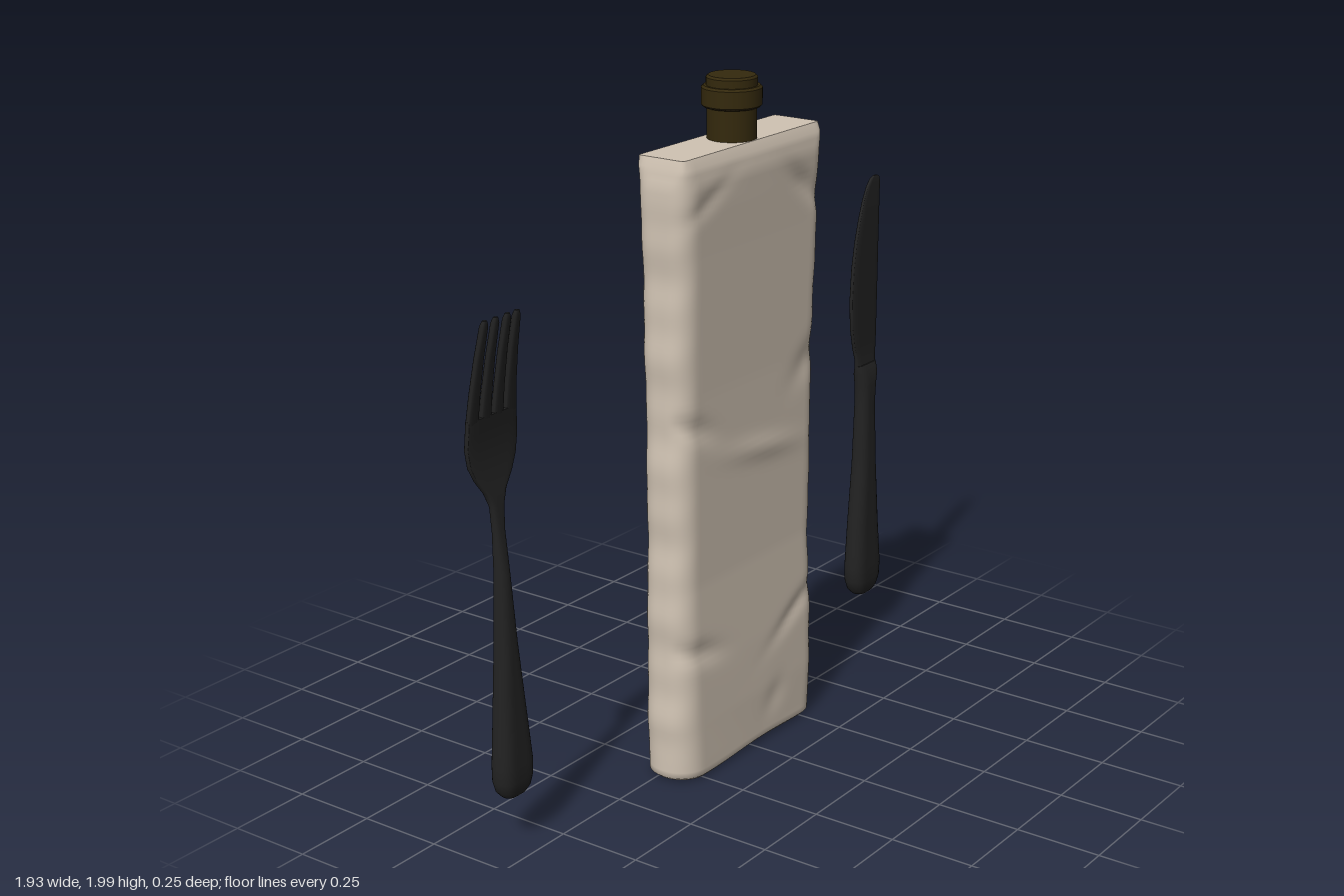
import * as THREE from 'three';

const lerp = THREE.MathUtils.lerp;
const clamp = THREE.MathUtils.clamp;

// Evenly spread points on the outline of a unit square, running from +x towards +z
function squareOutline(nx, nz) {
  const pts = [];
  for (let i = 0; i < nz; i++) pts.push([1, lerp(-1, 1, i / nz)]);
  for (let i = 0; i < nx; i++) pts.push([lerp(1, -1, i / nx), 1]);
  for (let i = 0; i < nz; i++) pts.push([-1, lerp(1, -1, i / nz)]);
  for (let i = 0; i < nx; i++) pts.push([lerp(-1, 1, i / nx), -1]);
  return pts;
}

// Skin of rounded-rectangle sections [y, x0, x1, z0, z1, roundness], with sharp end caps
function loft(sections, { nx = 8, nz = 6, steps = 1, bend = null } = {}) {
  const outline = squareOutline(nx, nz);
  const n = outline.length;
  const rows = [];
  sections.forEach((s, k) => {
    const next = sections[k + 1];
    if (!next) { rows.push(s); return; }
    const count = Math.max(1, Math.round(steps * Math.abs(next[0] - s[0])));
    for (let i = 0; i < count; i++) rows.push(s.map((v, c) => lerp(v, next[c], i / count)));
  });
  const pos = [];
  const index = [];
  const addRing = ([y, x0, x1, z0, z1, round]) => {
    const hx = (x1 - x0) / 2, hz = (z1 - z0) / 2;
    const r = Math.min(hx, hz) * round;
    for (const [u, v] of outline) {
      const px = u * hx, pz = v * hz;
      const cx = clamp(px, r - hx, hx - r), cz = clamp(pz, r - hz, hz - r);
      const len = Math.hypot(px - cx, pz - cz) || 1;
      const p = new THREE.Vector3(
        (x0 + x1) / 2 + cx + (px - cx) / len * r, y,
        (z0 + z1) / 2 + cz + (pz - cz) / len * r);
      if (bend) bend(p);
      pos.push(p.x, p.y, p.z);
    }
  };
  rows.forEach(addRing);
  for (let i = 0; i < rows.length - 1; i++) {
    for (let j = 0; j < n; j++) {
      const a = i * n + j, b = i * n + (j + 1) % n;
      index.push(a, a + n, b, a + n, b + n, b);
    }
  }
  [rows[0], rows[rows.length - 1]].forEach((row, top) => {
    const start = pos.length / 3;
    addRing(row);
    const c = pos.length / 3;
    pos.push((row[1] + row[2]) / 2, row[0], (row[3] + row[4]) / 2);
    for (let j = 0; j < n; j++) {
      const a = start + j, b = start + (j + 1) % n;
      if (top) index.push(c, b, a); else index.push(c, a, b);
    }
  });
  const g = new THREE.BufferGeometry();
  g.setAttribute('position', new THREE.Float32BufferAttribute(pos, 3));
  g.setIndex(index);
  g.computeVertexNormals();
  return g;
}

// Soft folds on the front of the bag: [x, y, width, height, slope, depth]
const FOLDS = [
  [0.05, 0.93, 0.16, 0.03, -0.15, 0.008], [-0.27, 0.4, 0.1, 0.03, -0.25, -0.012],
  [-0.28, 1.07, 0.09, 0.03, -0.4, -0.012], [0.24, 1.66, 0.1, 0.035, -0.7, -0.012],
  [-0.2, 1.72, 0.12, 0.03, 0.5, -0.007], [0.22, 0.38, 0.12, 0.03, 0.5, -0.008],
  [0.1, 0.12, 0.05, 0.05, 0.3, -0.007], [0.28, 1.15, 0.08, 0.05, 0.5, -0.008],
];

function crumple(p) {
  const { x, y } = p;
  const fade = clamp(Math.min(y - 0.05, 1.8 - y) * 8, 0, 1);
  const face = clamp((p.z - 0.03) * 20, -1, 1);
  let d = 0;
  for (const [fx, fy, w, h, slope, depth] of FOLDS) {
    const dx = (x - fx) / w, dy = (y - fy - slope * (x - fx)) / h;
    d += depth * Math.exp(-dx * dx - dy * dy);
  }
  const wave = 0.002 * Math.sin(7 * x + 5 * y);
  p.z += fade * (face > 0 ? face * d + wave : wave);
  const side = clamp((Math.abs(x) - 0.25) * 12, 0, 1) * Math.sign(x);
  p.x += fade * side * (0.003 * Math.sin(17 * y + x * 4) + 0.002 * Math.sin(41 * y));
  // uneven hem
  if (y < 0.05) p.y += 0.006 * Math.sin(x * 9 + 1) * Math.cos(x * 5);
}

export function createModel() {
  const linen = new THREE.MeshStandardMaterial({ name: 'linen', color: 0xd0c3b3 });
  const bronze = new THREE.MeshStandardMaterial({ name: 'darkBronze', color: 0x34290d });
  const black = new THREE.MeshStandardMaterial({ name: 'blackMetal', color: 0x222222 });
  const model = new THREE.Group();
  model.name = 'bottleBagAndCutlery';
  const add = (parent, name, geometry, material) => {
    const mesh = new THREE.Mesh(geometry, material);
    mesh.name = name;
    parent.add(mesh);
    return mesh;
  };

  // Flat cloth bag with a tucked-in bottom
  add(model, 'bag', loft([
    [0.03, -0.31, 0.31, -0.035, 0.09, 1],
    [0.012, -0.322, 0.322, -0.05, 0.105, 1],
    [0.022, -0.334, 0.334, -0.06, 0.115, 0.95],
    [0.18, -0.333, 0.338, -0.058, 0.115, 0.85],
    [0.35, -0.333, 0.335, -0.056, 0.112, 0.8],
    [0.6, -0.331, 0.331, -0.055, 0.104, 0.8],
    [1.15, -0.328, 0.33, -0.055, 0.107, 0.8],
    [1.55, -0.33, 0.338, -0.057, 0.115, 0.7],
    [1.75, -0.335, 0.334, -0.058, 0.122, 0.6],
    [1.8, -0.326, 0.328, -0.055, 0.115, 0.3],
    [1.825, -0.318, 0.32, -0.048, 0.102, 0.08],
  ], { nx: 44, nz: 14, steps: 55, bend: crumple }), linen);

  // Bottle neck and stopper
  const bottle = new THREE.Group();
  bottle.name = 'bottleTop';
  bottle.position.z = 0.03;
  model.add(bottle);
  const ring = (name, r, y0, y1) => {
    const edge = 0.006;
    const pts = [[0, y0], [r - edge, y0], [r, y0 + edge], [r, y0 + edge], [r, y1 - edge],
      [r, y1 - edge], [r - edge, y1], [r - edge, y1], [0, y1]];
    add(bottle, name, new THREE.LatheGeometry(pts.map(p => new THREE.Vector2(...p)), 40), bronze);
  };
  ring('neck', 0.069, 1.8, 1.925);
  ring('collar', 0.084, 1.913, 1.972);
  ring('stopper', 0.071, 1.96, 2.0);

  // Fork: handle and head in one skin
  const fork = new THREE.Group();
  fork.name = 'fork';
  model.add(fork);
  add(fork, 'forkHandleAndHead', loft([
    [0.15, -0.875, -0.84, -0.093, -0.073, 1],
    [0.157, -0.897, -0.82, -0.106, -0.06, 1],
    [0.175, -0.914, -0.802, -0.115, -0.051, 1],
    [0.205, -0.923, -0.793, -0.12, -0.046, 1],
    [0.25, -0.924, -0.792, -0.12, -0.046, 1],
    [0.4, -0.914, -0.809, -0.117, -0.052, 1],
    [0.6, -0.902, -0.833, -0.113, -0.058, 1],
    [0.8, -0.893, -0.849, -0.11, -0.066, 1],
    [0.92, -0.892, -0.853, -0.108, -0.08, 1],
    [0.99, -0.896, -0.849, -0.109, -0.086, 0.9],
    [1.03, -0.911, -0.833, -0.114, -0.092, 0.8],
    [1.07, -0.938, -0.801, -0.12, -0.099, 0.7],
    [1.11, -0.957, -0.78, -0.123, -0.104, 0.6],
    [1.16, -0.965, -0.77, -0.124, -0.106, 0.6],
    [1.24, -0.963, -0.776, -0.118, -0.1, 0.6],
  ], { nx: 10, nz: 6, steps: 20 }), black);
  // Tines: [base left, base right, tip left, tip right]
  [[-0.963, -0.925, -0.956, -0.935], [-0.912, -0.876, -0.913, -0.893],
    [-0.863, -0.828, -0.868, -0.847], [-0.815, -0.776, -0.831, -0.81]].forEach(([a, b, c, d], i) => {
    const at = (t, y, z) => [y, lerp(a, c, t), lerp(b, d, t), z - 0.009, z + 0.009, 0.6];
    add(fork, 'tine' + (i + 1), loft([
      at(0, 1.23, -0.11), at(0.3, 1.31, -0.098), at(0.65, 1.41, -0.079),
      at(0.97, 1.5, -0.058), [1.515, c + 0.004, d - 0.004, -0.06, -0.05, 0.6],
    ], { nx: 4, nz: 4 }), black);
  });

  // Knife: handle and blade
  const knife = new THREE.Group();
  knife.name = 'knife';
  model.add(knife);
  add(knife, 'knifeHandle', loft([
    [0.15, 0.87, 0.906, -0.093, -0.073, 1],
    [0.157, 0.847, 0.929, -0.106, -0.06, 1],
    [0.175, 0.828, 0.947, -0.115, -0.051, 1],
    [0.205, 0.817, 0.959, -0.12, -0.046, 1],
    [0.25, 0.814, 0.962, -0.12, -0.046, 1],
    [0.4, 0.824, 0.948, -0.117, -0.05, 1],
    [0.6, 0.842, 0.933, -0.114, -0.054, 1],
    [0.8, 0.85, 0.925, -0.111, -0.058, 1],
    [0.86, 0.849, 0.929, -0.111, -0.058, 1],
    [0.9, 0.841, 0.938, -0.109, -0.061, 1],
    [0.93, 0.84, 0.94, -0.1, -0.074, 1],
  ], { nx: 10, nz: 8, steps: 20 }), black);
  add(knife, 'knifeBlade', loft([
    [0.9, 0.842, 0.938, -0.101, -0.075, 1],
    [0.95, 0.838, 0.942, -0.098, -0.08, 1],
    [0.99, 0.824, 0.946, -0.098, -0.081, 1],
    [1.06, 0.808, 0.947, -0.098, -0.081, 1],
    [1.15, 0.803, 0.948, -0.098, -0.081, 1],
    [1.25, 0.81, 0.949, -0.098, -0.081, 1],
    [1.33, 0.823, 0.949, -0.097, -0.081, 1],
    [1.4, 0.841, 0.95, -0.096, -0.081, 1],
    [1.46, 0.862, 0.951, -0.095, -0.082, 1],
    [1.5, 0.882, 0.952, -0.094, -0.082, 1],
    [1.52, 0.9, 0.95, -0.093, -0.083, 1],
    [1.528, 0.916, 0.938, -0.091, -0.085, 1],
  ], { nx: 10, nz: 6, steps: 20 }), black);

  return model;
}
